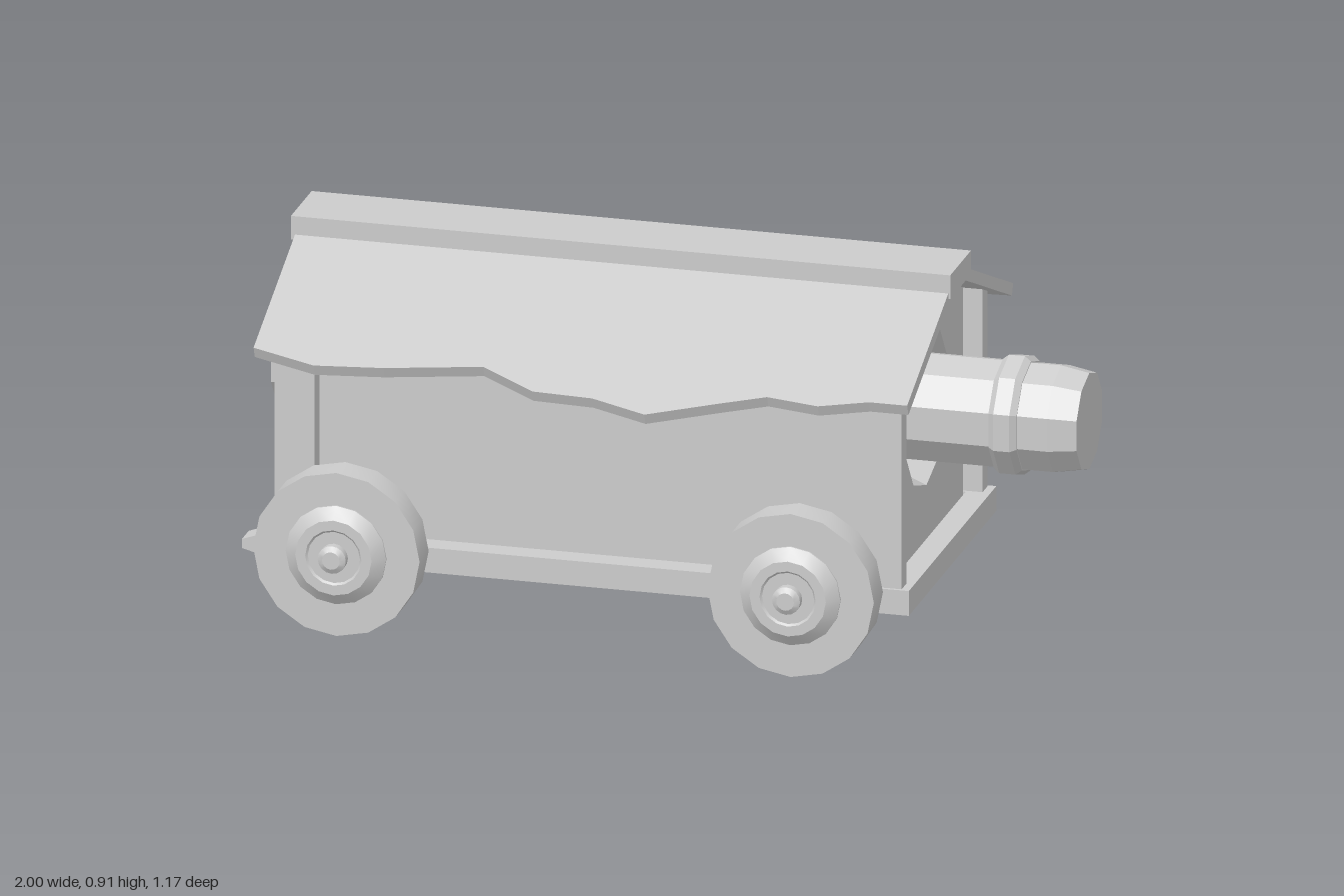
import * as THREE from 'three';
import { toCreasedNormals } from 'three/addons/utils/BufferGeometryUtils.js';

const flat = new THREE.MeshStandardMaterial({ color: 0xcccccc, flatShading: true });
const flatDouble = new THREE.MeshStandardMaterial({ color: 0xcccccc, flatShading: true, side: THREE.DoubleSide });
const smooth = new THREE.MeshStandardMaterial({ color: 0xcccccc });

export function createModel() {
  const model = new THREE.Group();
  model.name = 'coveredBatteringRam';
  const cart = new THREE.Group();
  cart.name = 'cart';
  cart.position.z = 0.01;
  model.add(cart);

  const add = (name, geometry, material = flat) => {
    const mesh = new THREE.Mesh(geometry, material);
    mesh.name = name;
    cart.add(mesh);
    return mesh;
  };
  // Box given by its limits on each axis
  const box = (name, x0, x1, y0, y1, z0, z1) =>
    add(name, new THREE.BoxGeometry(x1 - x0, y1 - y0, z1 - z0))
      .position.set((x0 + x1) / 2, (y0 + y1) / 2, (z0 + z1) / 2);
  const toShape = (pts) => new THREE.Shape(pts.map(([a, b]) => new THREE.Vector2(a, b)));
  const extrude = (shape, depth) => new THREE.ExtrudeGeometry(shape, { depth, bevelEnabled: false });

  const ramY = 0.54;
  const SIDES = 10;

  // Base frame: two long rails and two cross rails
  for (const s of [-1, 1]) {
    const z = s * 0.367;
    box('sideRail', -0.94, 0.66, 0.147, 0.21, z - 0.03, z + 0.03);
  }
  box('rearRail', -0.94, -0.88, 0.147, 0.21, -0.337, 0.337);
  box('frontRail', 0.6, 0.66, 0.147, 0.21, -0.337, 0.337);

  // Gabled body with a tunnel for the ram
  const gable = toShape([[-0.333, 0.2], [0.333, 0.2], [0.333, 0.738], [0.09, 0.852], [-0.09, 0.852], [-0.333, 0.738]]);
  const hole = new THREE.Path();
  for (let i = 0; i < SIDES; i++) {
    const a = Math.PI / 2 - (i * 2 * Math.PI) / SIDES;
    const x = 0.2 * Math.cos(a), y = ramY + 0.2 * Math.sin(a);
    if (i === 0) hole.moveTo(x, y); else hole.lineTo(x, y);
  }
  hole.closePath();
  gable.holes.push(hole);
  const body = extrude(gable, 1.47);
  body.rotateY(Math.PI / 2);
  body.translate(-0.875, 0, 0);
  add('body', body);

  // Ten-sided ring or drum along x, with a corner at the top
  const drum = (name, x0, x1, r0, r1, open = false) => {
    const g = new THREE.CylinderGeometry(r1, r0, x1 - x0, SIDES, 1, open, Math.PI / 2);
    g.rotateZ(-Math.PI / 2);
    add(name, g, open ? flatDouble : flat).position.set((x0 + x1) / 2, ramY, 0);
  };
  drum('frontFunnel', 0.49, 0.595, 0.155, 0.2, true);
  drum('rearFunnel', -0.875, -0.77, 0.2, 0.155, true);

  // Ram with collar and tapered head
  drum('ramShaft', -1, 0.93, 0.135, 0.135);
  drum('ramHead', 0.93, 1, 0.135, 0.122);
  drum('collarRear', 0.785, 0.8, 0.138, 0.15);
  drum('collar', 0.8, 0.84, 0.15, 0.15);
  drum('collarFront', 0.84, 0.855, 0.15, 0.138);

  // Corner posts
  for (const x of [-0.92, 0.54]) {
    for (const s of [-1, 1]) {
      const z = s * 0.367;
      box('cornerPost', x, x + 0.1, 0.2, 0.735, z - 0.022, z + 0.022);
    }
  }

  // Roof: ridge beam and two sloping sheets with ragged eaves, given as [x, distance from ridge]
  box('ridgeBeam', -0.96, 0.68, 0.852, 0.912, -0.094, 0.094);
  const frontEave = [[-0.95, 0.47], [-0.79, 0.51], [-0.62, 0.498], [-0.38, 0.465], [-0.24, 0.53], [-0.09, 0.535],
    [0.05, 0.572], [0.22, 0.515], [0.33, 0.48], [0.46, 0.495], [0.58, 0.467], [0.675, 0.467]];
  const backEave = [[-0.95, 0.493], [-0.86, 0.495], [-0.64, 0.527], [-0.47, 0.527], [-0.33, 0.594], [-0.19, 0.564],
    [-0.04, 0.563], [0.11, 0.494], [0.28, 0.523], [0.52, 0.55], [0.675, 0.495]];
  const slope = Math.atan(0.428);
  const thickness = 0.03;
  const inner = 0.06;
  const roofSheet = (name, eave, side) => {
    const pts = eave.map(([x, z]) => [x * side, -(z - inner) / Math.cos(slope)]);
    const shape = toShape([...pts, [0.675 * side, 0], [-0.95 * side, 0]]);
    const g = extrude(shape, thickness);
    g.translate(0, 0, -thickness);
    g.rotateX(-Math.PI / 2 + slope);
    g.translate(0, 0.88, inner);
    if (side < 0) g.rotateY(Math.PI);
    add(name, g);
  };
  roofSheet('frontRoof', frontEave, 1);
  roofSheet('backRoof', backEave, -1);

  // Wheels with stepped hubs, and their axles
  const profile = [[0, 0.42], [0.207, 0.42], [0.207, 0.503], [0.125, 0.503], [0.125, 0.507], [0.095, 0.53],
    [0.07, 0.53], [0.065, 0.525], [0.035, 0.525], [0.035, 0.545], [0.022, 0.553], [0, 0.553]]
    .map(([r, h]) => new THREE.Vector2(r, h));
  const wheel = toCreasedNormals(new THREE.LatheGeometry(profile, 16), 0.45);
  wheel.rotateX(Math.PI / 2);
  const axle = new THREE.CylinderGeometry(0.033, 0.033, 0.86, 12);
  axle.rotateX(Math.PI / 2);
  for (const x of [-0.735, 0.395]) {
    add('axle', axle, smooth).position.set(x, 0.21, 0);
    for (const s of [0, 1]) {
      const w = add('wheel', wheel, smooth);
      w.position.set(x, 0.21, 0);
      w.rotation.y = s * Math.PI;
    }
  }

  // Pointed tow pegs at the rear
  const peg = toShape([[-0.92, 0.15], [-0.92, 0.208], [-0.95, 0.206], [-1, 0.188], [-1, 0.165], [-0.95, 0.152]]);
  for (const s of [-1, 1]) {
    const g = extrude(peg, 0.062);
    g.translate(0, 0, s * 0.362 - 0.031);
    add('towPeg', g);
  }

  return model;
}
